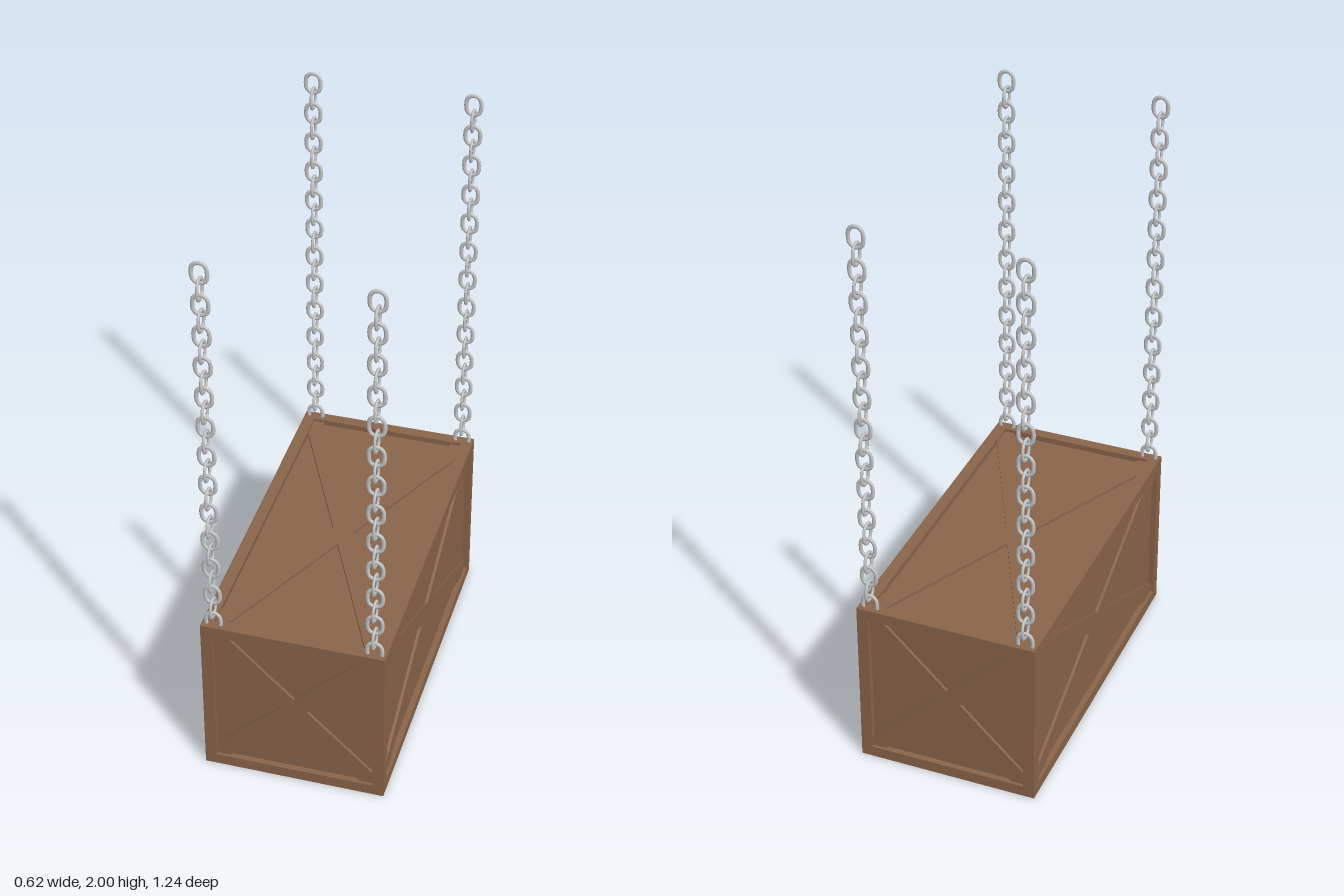
import * as THREE from 'three';

const wood = new THREE.MeshStandardMaterial({ name: 'brownWood', color: 0x8b654b });
const steel = new THREE.MeshStandardMaterial({ name: 'lightSteel', color: 0xc6c8ca });

// Half sizes of the crate, beam width, panel and brace inset
const HX = 0.31, HY = 0.302, HZ = 0.608;
const BEAM = 0.039, PANEL = 0.02, BRACE = 0.01, BRACE_HALF = 0.032;

function addBox(parent, name, w, h, d, x, y, z) {
  const mesh = new THREE.Mesh(new THREE.BoxGeometry(w, h, d), wood);
  mesh.name = name;
  mesh.position.set(x, y, z);
  parent.add(mesh);
}

// X-shaped brace filling a panel of half size a by b, its corners cut to the frame
function crossGeometry(a, b) {
  const len = Math.hypot(a, b);
  const ox = BRACE_HALF * len / b, oy = BRACE_HALF * len / a;
  const shape = new THREE.Shape([
    [a, b], [a - ox, b], [0, oy], [ox - a, b], [-a, b], [-a, b - oy], [-ox, 0], [-a, oy - b],
    [-a, -b], [ox - a, -b], [0, -oy], [a - ox, -b], [a, -b], [a, oy - b], [ox, 0], [a, b - oy],
  ].map(([x, y]) => new THREE.Vector2(x, y)));
  return new THREE.ExtrudeGeometry(shape, { depth: PANEL - BRACE, bevelEnabled: false });
}

function buildCrate() {
  const crate = new THREE.Group();
  crate.name = 'crate';
  crate.position.y = HY;
  addBox(crate, 'panels', 2 * (HX - PANEL), 2 * (HY - PANEL), 2 * (HZ - PANEL), 0, 0, 0);

  // Twelve edge beams
  const cx = HX - BEAM / 2, cy = HY - BEAM / 2, cz = HZ - BEAM / 2;
  for (const s of [-1, 1]) {
    for (const t of [-1, 1]) {
      addBox(crate, 'cornerPost', BEAM, 2 * HY, BEAM, s * cx, 0, t * cz);
      addBox(crate, 'longRail', BEAM, BEAM, 2 * (HZ - BEAM), s * cx, t * cy, 0);
      addBox(crate, 'endRail', 2 * (HX - BEAM), BEAM, BEAM, 0, s * cy, t * cz);
    }
  }

  // One cross brace on each of the six faces
  const a = HX - BEAM, b = HY - BEAM, c = HZ - BEAM;
  const faces = [
    ['endBrace', a, b, HZ, 0, 0], ['endBrace', a, b, HZ, 0, Math.PI],
    ['sideBrace', c, b, HX, 0, Math.PI / 2], ['sideBrace', c, b, HX, 0, -Math.PI / 2],
    ['topBrace', a, c, HY, -Math.PI / 2, 0], ['bottomBrace', a, c, HY, Math.PI / 2, 0],
  ];
  for (const [name, w, h, dist, rx, ry] of faces) {
    const mesh = new THREE.Mesh(crossGeometry(w, h), wood);
    mesh.name = name;
    mesh.rotation.set(rx, ry, 0);
    mesh.translateZ(dist - PANEL);
    crate.add(mesh);
  }
  return crate;
}

// Oval link: two half circles joined by straight sides, slightly flattened
function linkGeometry() {
  const r = 0.0245, straight = 0.0105, points = [];
  for (const side of [1, -1]) {
    for (let i = 0; i <= 6; i++) {
      const t = (i / 6) * Math.PI;
      points.push(new THREE.Vector3(side * r * Math.cos(t), side * (straight + r * Math.sin(t)), 0));
    }
  }
  const path = new THREE.CatmullRomCurve3(points, true);
  return new THREE.TubeGeometry(path, 24, 0.007, 8, true).scale(1, 1, 0.7);
}

function buildChain(geometry, x, z) {
  const chain = new THREE.Group();
  chain.name = 'chain';
  chain.position.set(x, 0, z);
  for (let i = 0; i < 25; i++) {
    const link = new THREE.Mesh(geometry, steel);
    link.name = 'chainLink';
    link.position.y = 1.958 - i * 0.0559;
    link.rotation.y = i % 2 ? Math.PI / 2 : 0;
    chain.add(link);
  }
  return chain;
}

export function createModel() {
  const model = new THREE.Group();
  model.name = 'hangingCrate';
  model.add(buildCrate());
  const geometry = linkGeometry();
  for (const x of [-0.27, 0.27]) {
    for (const z of [-0.587, 0.587]) model.add(buildChain(geometry, x, z));
  }
  return model;
}
